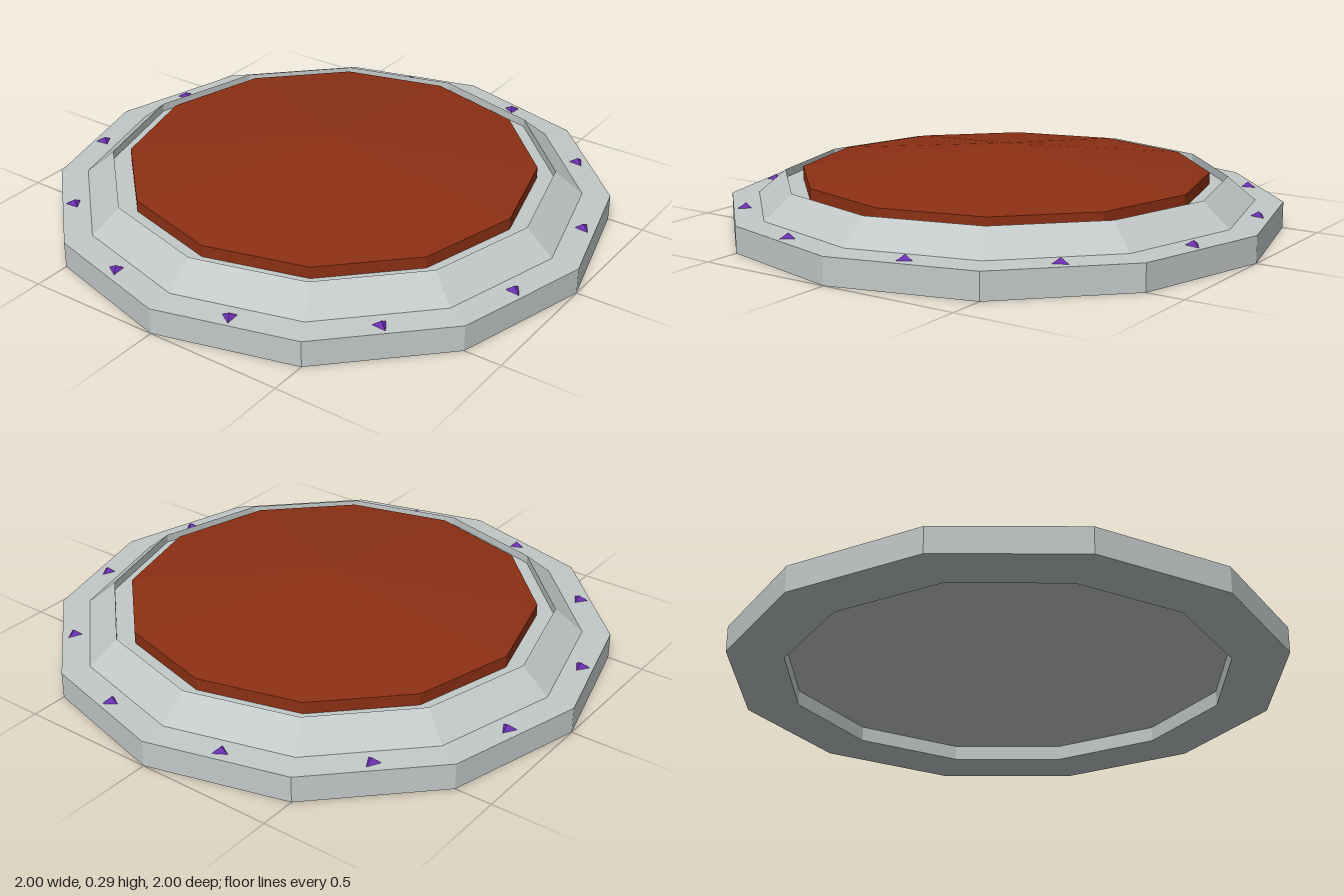
import * as THREE from 'three';

const SIDES = 12;
const mat = (color) => new THREE.MeshStandardMaterial({ color, flatShading: true });

// Twelve-sided turned part from [radius, height] pairs, run bottom to top on the outside
function turned(name, profile, material) {
  const points = profile.map(([r, y]) => new THREE.Vector2(r, y));
  const mesh = new THREE.Mesh(new THREE.LatheGeometry(points, SIDES), material);
  mesh.name = name;
  return mesh;
}

export function createModel() {
  const group = new THREE.Group();
  group.name = 'roundPlatform';
  const stone = mat(0xc2c8c8);
  const red = mat(0x8c3014);
  const purple = mat(0x6a2fb0);

  // Stepped rim with a sloping inner collar
  group.add(turned('rim', [
    [0.8, 0], [1, 0], [1, 0.095], [0.9, 0.1], [0.8, 0.185], [0.8, 0],
  ], stone));

  // Floor: hollow cone below, level ledge above
  group.add(turned('floorUnderside', [[0, 0.15], [0.8, 0.055]], stone));
  group.add(turned('floorLedge', [[0.8, 0.155], [0.7, 0.155]], stone));

  // Shallow conical cap
  group.add(turned('cap', [[0.735, 0.155], [0.735, 0.198], [0, 0.295]], red));

  // Small three-sided studs around the rim
  const studs = new THREE.Group();
  studs.name = 'studs';
  const studGeometry = new THREE.ConeGeometry(0.036, 0.022, 3);
  for (let i = 0; i < SIDES; i++) {
    const a = ((i + 0.5) / SIDES) * Math.PI * 2;
    const stud = new THREE.Mesh(studGeometry, purple);
    stud.name = 'stud';
    stud.position.set(0.923 * Math.sin(a), 0.104, 0.923 * Math.cos(a));
    // studs at the sides point backwards, the rest point to +x
    stud.rotation.y = Math.abs(Math.sin(a)) > 0.9 ? Math.PI : Math.PI / 2;
    studs.add(stud);
  }
  group.add(studs);
  return group;
}
